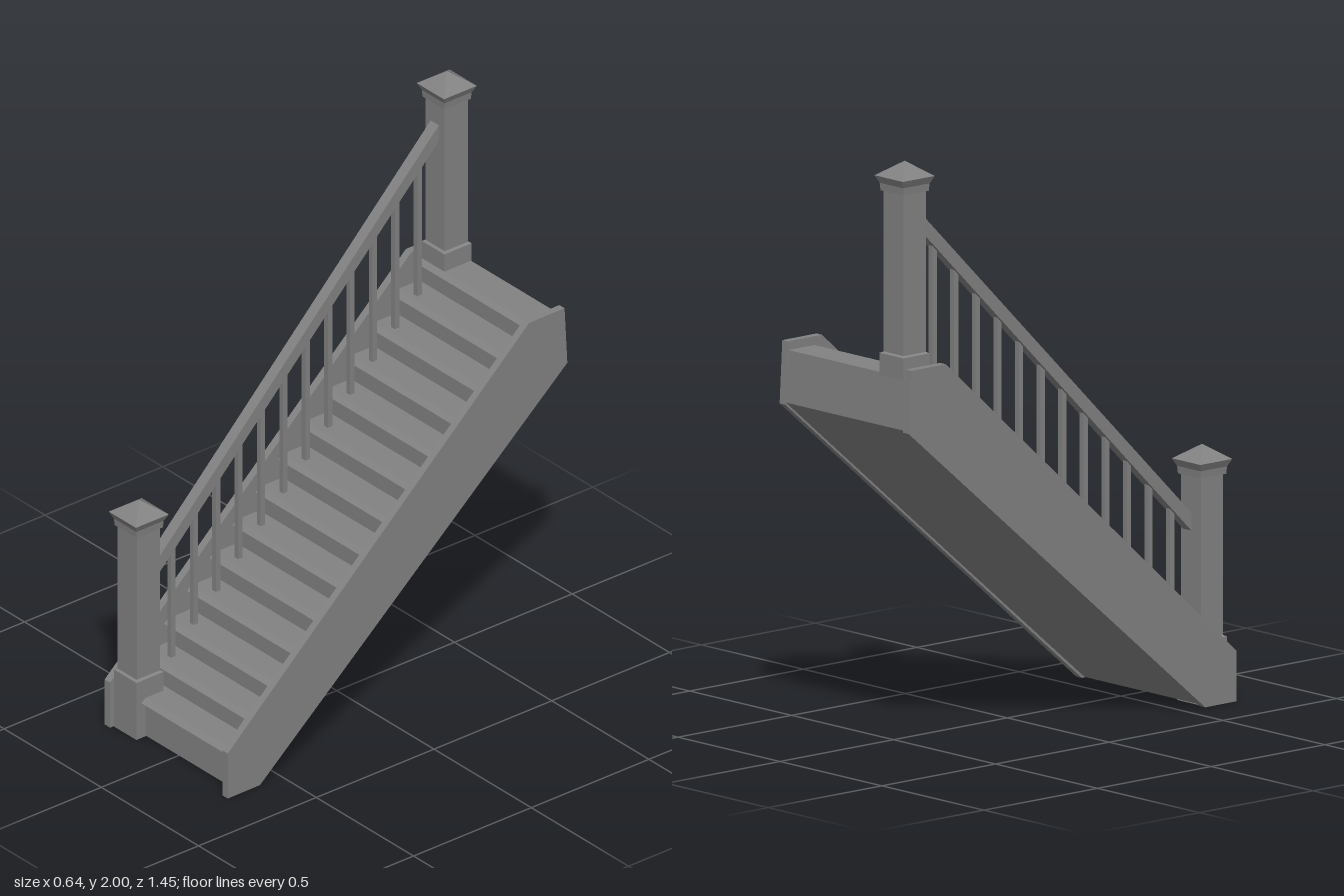
import * as THREE from 'three';

const material = new THREE.MeshStandardMaterial({ color: 0x828282, flatShading: true });

function addMesh(parent, name, geometry) {
  const mesh = new THREE.Mesh(geometry, material);
  mesh.name = name;
  parent.add(mesh);
  return mesh;
}

// Side profile of [z, y] points, extruded from x0 to x1; skew drifts x along z
function slab(points, x0, x1, skew = 0) {
  const shape = new THREE.Shape(points.map(([z, y]) => new THREE.Vector2(z, y)));
  const g = new THREE.ExtrudeGeometry(shape, { depth: x1 - x0, bevelEnabled: false });
  g.rotateY(-Math.PI / 2).translate(x1, 0, 0);
  const p = g.attributes.position;
  for (let i = 0; i < p.count; i++) p.setX(i, p.getX(i) + skew * p.getZ(i));
  g.computeVertexNormals();
  return g;
}

// Square newel post: plinth, shaft, flared collar and pyramid cap in one profile
function newelPost(bottom, plinthTop, shaftTop, peak) {
  const profile = [
    [0, bottom], [0.058, bottom], [0.058, plinthTop - 0.005], [0.049, plinthTop],
    [0.049, shaftTop], [0.056, shaftTop], [0.058, shaftTop + 0.025],
    [0.07, shaftTop + 0.05], [0, peak],
  ].map(([half, y]) => new THREE.Vector2(half * Math.SQRT2, y));
  return new THREE.LatheGeometry(profile, 4, Math.PI / 4);
}

export function createModel() {
  const model = new THREE.Group();
  model.name = 'staircase';

  // Steps with bevelled nosings, closed by a sloping soffit and a back panel
  const count = 14, run = 0.0975, rise = 0.0881, firstNose = 0.692, firstY = 0.145, nosing = 0.018;
  const noseZ = (i) => firstNose - i * run;
  const treadY = (i) => firstY + i * rise;
  const steps = [[0.598, 0.003], [firstNose - nosing, 0.003]];
  for (let i = 0; i < count; i++) {
    const z = noseZ(i), y = treadY(i);
    steps.push([z - nosing, y - 0.018], [z, y - 0.014], [z - nosing, y]);
    if (i < count - 1) steps.push([noseZ(i + 1) - nosing, y]);
  }
  steps.push([-0.708, treadY(count - 1)], [-0.72, 1.116]);
  addMesh(model, 'steps', slab(steps, -0.297, 0.288));

  // Side stringers
  const side = [[0.59, 0], [0.728, 0], [0.728, 0.17], [-0.56, 1.32], [-0.712, 1.32], [-0.724, 1.11]];
  addMesh(model, 'leftStringer', slab(side, 0.288, 0.315, 0.008));
  addMesh(model, 'rightStringer', slab(side, -0.318, -0.29, 0.008));

  // Newel posts
  addMesh(model, 'lowerNewelPost', newelPost(0, 0.22, 0.76, 0.86)).position.set(-0.225, 0, 0.655);
  addMesh(model, 'upperNewelPost', newelPost(1.28, 1.36, 1.9, 2.0)).position.set(-0.225, 0, -0.653);

  // Handrail between the posts
  const railSkew = 0.017, railX = -0.217;
  const railTop = (z) => 1.23 - 0.98 * z;
  const thick = 0.06, end = 0.608;
  addMesh(model, 'handrail', slab([
    [end, railTop(end) - thick], [end, railTop(end)],
    [-end, railTop(-end)], [-end, railTop(-end) - thick],
  ], railX - 0.021, railX + 0.021, railSkew));

  // Balusters, one per tread, rising into the rail
  const balusters = new THREE.Group();
  balusters.name = 'balusters';
  model.add(balusters);
  for (let i = 1; i < count - 1; i++) {
    const z = 0.53 - (i - 1) * 0.0964;
    const y0 = treadY(i) - 0.005, y1 = railTop(z) - thick / 2;
    const post = addMesh(balusters, 'baluster', new THREE.BoxGeometry(0.019, y1 - y0, 0.019));
    post.position.set(railX + railSkew * z, (y0 + y1) / 2, z);
  }

  return model;
}
